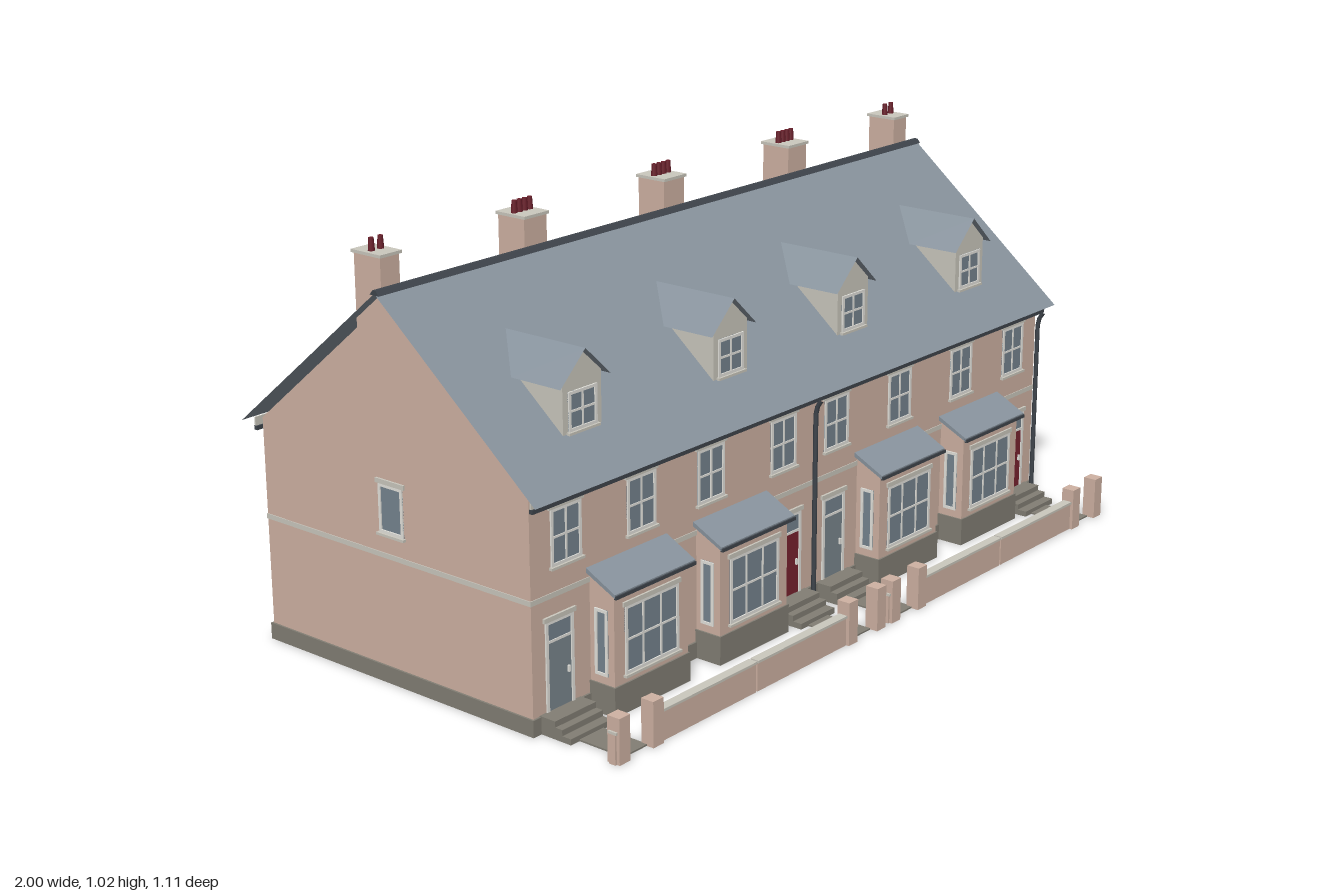
import * as THREE from 'three';

const mat = (name, color, side = THREE.FrontSide) => {
  const m = new THREE.MeshStandardMaterial({ color, side });
  m.name = name;
  return m;
};

export function createModel() {
  const brick = mat('brick', 0xcfb2a3, THREE.DoubleSide);
  const slate = mat('slate', 0x88939d, THREE.DoubleSide);
  const stone = mat('pale stone', 0xcbc8be);
  const grey = mat('grey concrete', 0x827e74);
  const glass = mat('glass', 0x76848f);
  const white = mat('white paint', 0xe4e3dd);
  const red = mat('red paint', 0x78222f);
  const iron = mat('dark iron', 0x3f454c);
  const blue = mat('grey blue paint', 0x7a868e);
  const clay = mat('red clay', 0x6a1f2b);

  const model = new THREE.Group();
  model.name = 'terrace';
  const group = (name, parent = model) => {
    const g = new THREE.Group();
    g.name = name;
    parent.add(g);
    return g;
  };
  const add = (parent, name, geo, m) => {
    const mesh = new THREE.Mesh(geo, m);
    mesh.name = name;
    parent.add(mesh);
    return mesh;
  };
  // Box given by its lowest and highest corners
  const box = (parent, name, m, x0, x1, y0, y1, z0, z1) => {
    const g = new THREE.BoxGeometry(x1 - x0, y1 - y0, z1 - z0);
    return add(parent, name, g.translate((x0 + x1) / 2, (y0 + y1) / 2, (z0 + z1) / 2), m);
  };
  const shapeOf = pts => new THREE.Shape(pts.map(p => new THREE.Vector2(p[0], p[1])));
  // Extrude a (z, y) profile across x
  const across = (parent, name, m, pts, x, w) => {
    const g = new THREE.ExtrudeGeometry(shapeOf(pts), { depth: w, bevelEnabled: false });
    return add(parent, name, g.translate(0, 0, -w / 2).rotateY(-Math.PI / 2).translate(x, 0, 0), m);
  };
  const quad = (parent, name, m, a, b, c, d) => {
    const g = new THREE.BufferGeometry();
    g.setAttribute('position', new THREE.Float32BufferAttribute([a, b, c, a, c, d].flat(), 3));
    g.computeVertexNormals();
    return add(parent, name, g, m);
  };

  // Window facing +z, with frame, bars, lintel and sill
  const windowUnit = (parent, x, y0, y1, w, cols, rows, { z = 0, lintel = true, sill = true } = {}) => {
    const g = group('window', parent);
    g.position.set(x, 0, z);
    const h = w / 2, f = 0.007, b = 0.0025;
    box(g, 'glass', glass, -h, h, y0, y1, -0.006, 0.001);
    for (const s of [-1, 1]) box(g, 'frameSide', white, s * h - (s > 0 ? f : 0), s * h + (s < 0 ? f : 0), y0, y1, -0.008, 0.004);
    box(g, 'frameBottom', white, -h, h, y0, y0 + f, -0.008, 0.004);
    box(g, 'frameTop', white, -h, h, y1 - f, y1, -0.008, 0.004);
    for (let i = 1; i < cols; i++) {
      const p = -h + w * i / cols;
      box(g, 'mullion', white, p - b, p + b, y0, y1, -0.007, 0.003);
    }
    for (let i = 1; i < rows; i++) {
      const p = y0 + (y1 - y0) * i / rows;
      box(g, 'transom', white, -h, h, p - b, p + b, -0.007, 0.003);
    }
    if (lintel) box(g, 'lintel', stone, -h - 0.007, h + 0.007, y1, y1 + 0.011, -0.002, 0.005);
    if (sill) box(g, 'sill', stone, -h - 0.005, h + 0.005, y0 - 0.006, y0, -0.004, 0.009);
  };

  // Front door with a glazed light above
  const door = (parent, x, paint) => {
    const g = group('frontDoor', parent);
    g.position.x = x;
    box(g, 'doorPanel', paint, -0.037, 0.037, 0.042, 0.2, -0.006, 0.001);
    box(g, 'topLight', glass, -0.037, 0.037, 0.2, 0.244, -0.006, 0.001);
    for (const s of [-1, 1]) box(g, 'jamb', white, s * 0.04 - 0.004, s * 0.04 + 0.004, 0.04, 0.25, -0.008, 0.004);
    box(g, 'rail', white, -0.037, 0.037, 0.199, 0.205, -0.008, 0.003);
    box(g, 'head', white, -0.044, 0.044, 0.243, 0.25, -0.008, 0.004);
    box(g, 'lintel', stone, -0.05, 0.05, 0.25, 0.261, -0.002, 0.006);
    box(g, 'handle', white, 0.024, 0.029, 0.115, 0.13, 0, 0.006);
  };

  // One wall: outline with holes, plinth and string course; local +z faces out
  const wall = (name, half, rise, pos, turn, openings) => {
    const g = group(name);
    g.position.set(...pos);
    g.rotation.y = turn;
    const pts = [[-half, 0], [half, 0], [half, 0.545]];
    if (rise) pts.push([0, 0.89]);
    pts.push([-half, 0.545]);
    const s = shapeOf(pts);
    for (const [x, y0, y1, w] of openings) {
      const h = w / 2;
      s.holes.push(new THREE.Path([[x - h, y0], [x - h, y1], [x + h, y1], [x + h, y0]].map(p => new THREE.Vector2(...p))));
    }
    add(g, 'brickwork', new THREE.ShapeGeometry(s), brick);
    box(g, 'plinth', grey, -half - 0.005, half + 0.005, 0, 0.04, -0.002, 0.005);
    box(g, 'stringCourse', stone, -half - 0.002, half + 0.002, 0.3, 0.312, -0.001, 0.002);
    return g;
  };

  const doors = [[-0.89, blue], [-0.087, red], [0.087, blue], [0.888, red]];
  const upper = [-0.864, -0.62, -0.38, -0.113, 0.094, 0.355, 0.625, 0.866];
  const front = wall('frontWall', 0.975, 0, [0, 0, 0.32], 0,
    [...upper.map(x => [x, 0.37, 0.5, 0.095]), ...doors.map(d => [d[0], 0.042, 0.25, 0.085])]);
  upper.forEach(x => windowUnit(front, x, 0.37, 0.5, 0.095, 2, 2));
  doors.forEach(([x, paint]) => door(front, x, paint));

  // Back wall: glazed doors and small windows in turn below a row of windows
  const backX = [-0.82, -0.595, -0.332, -0.118, 0.15, 0.362, 0.64, 0.85];
  const lower = i => i % 2 ? [0.135, 0.225, 0.08] : [0.045, 0.24, 0.13];
  const back = wall('backWall', 0.975, 0, [0, 0, -0.51], Math.PI,
    [...backX.map(x => [x, 0.365, 0.485, 0.085]), ...backX.map((x, i) => [x, ...lower(i)])]);
  backX.forEach((x, i) => {
    const [y0, y1, w] = lower(i);
    windowUnit(back, x, 0.365, 0.485, 0.085, 1, 1);
    windowUnit(back, x, y0, y1, w, i % 2 ? 1 : 3, 1, { sill: i % 2 === 1 });
  });

  for (const s of [-1, 1]) {
    const gable = wall(s > 0 ? 'leftGable' : 'rightGable', 0.415, 1, [s * 0.975, 0, -0.095], s * Math.PI / 2, [[0, 0.36, 0.475, 0.075]]);
    windowUnit(gable, 0, 0.36, 0.475, 0.075, 1, 1);
  }

  // Main roof, fascias, gutters and ridge
  const roof = group('roof');
  const ridgeY = 0.915, ridgeZ = -0.095, pitch = 0.829;
  const eaveY = ridgeY - 0.458 * pitch;
  for (const s of [-1, 1]) {
    const ez = ridgeZ + s * 0.458;
    quad(roof, 'roofSlope', slate, [-s, eaveY, ez], [s, eaveY, ez], [s, ridgeY, ridgeZ], [-s, ridgeY, ridgeZ]);
    const wz = ridgeZ + s * 0.43;
    box(roof, 'fascia', stone, -0.985, 0.985, 0.524, 0.545, wz - 0.002, wz + 0.002);
    box(roof, 'gutter', iron, -0.985, 0.985, 0.514, 0.524, wz - 0.004, wz + 0.006);
  }
  across(roof, 'ridgeTiles', iron, [[-0.109, 0.911], [-0.081, 0.911], [-0.09, 0.922], [-0.1, 0.922]], 0, 2);

  // Dormers
  for (const x of [-0.74, -0.236, 0.236, 0.74]) {
    const d = group('dormer');
    d.position.x = x;
    across(d, 'cheeks', stone, [[0.26, 0.612], [0.26, 0.725], [0.13, 0.725]], 0, 0.123);
    const gab = new THREE.ExtrudeGeometry(shapeOf([[-0.0615, 0.725], [0.0615, 0.725], [0.0615, 0.742], [0, 0.798], [-0.0615, 0.742]]), { depth: 0.12, bevelEnabled: false });
    add(d, 'dormerGable', gab.translate(0, 0, 0.14), stone);
    windowUnit(d, 0, 0.625, 0.715, 0.09, 2, 2, { z: 0.26, lintel: false });
    for (const s of [-1, 1]) {
      quad(d, 'dormerRoof', slate, [0, 0.805, 0.272], [s * 0.08, 0.73, 0.272], [s * 0.08, 0.73, 0.128], [0, 0.805, 0.036]);
    }
  }

  // Chimneys with rows of pots
  for (const [x, w, n] of [[-0.94, 0.056, 2], [-0.487, 0.074, 4], [0, 0.074, 4], [0.487, 0.074, 4], [0.94, 0.056, 2]]) {
    const c = group('chimney');
    c.position.x = x;
    box(c, 'stack', brick, -w / 2, w / 2, 0.81, 0.985, -0.188, -0.107);
    box(c, 'cap', stone, -w / 2 - 0.004, w / 2 + 0.004, 0.985, 0.992, -0.193, -0.102);
    const gap = n === 2 ? 0.027 : 0.017;
    for (let i = 0; i < n; i++) {
      const pot = add(c, 'chimneyPot', new THREE.CylinderGeometry(0.006, 0.008, 0.03, 12), clay);
      pot.position.set((i - (n - 1) / 2) * gap, 1.006, -0.148);
    }
  }

  // Bay windows with lean-to roofs
  for (const x of [-0.668, -0.308, 0.306, 0.668]) {
    const b = group('bayWindow');
    b.position.x = x;
    box(b, 'bayPlinth', grey, -0.127, 0.127, 0, 0.07, 0.32, 0.394);
    across(b, 'bayWalls', brick, [[0.32, 0.07], [0.39, 0.07], [0.39, 0.285], [0.32, 0.322]], 0, 0.246);
    windowUnit(b, 0, 0.09, 0.25, 0.178, 3, 2, { z: 0.39 });
    for (const s of [-1, 1]) {
      const side = group('baySide', b);
      side.position.set(s * 0.123, 0, 0.354);
      side.rotation.y = s * Math.PI / 2;
      windowUnit(side, 0, 0.09, 0.245, 0.037, 1, 1, { lintel: false, sill: false });
    }
    across(b, 'bayRoof', slate, [[0.32, 0.324], [0.403, 0.284], [0.403, 0.293], [0.32, 0.335]], 0, 0.268);
    box(b, 'bayGutter', iron, -0.134, 0.134, 0.282, 0.29, 0.4, 0.407);
  }

  // Doorsteps and paths
  for (const [x] of doors) {
    const e = group('entrance');
    across(e, 'steps', grey, [[0.32, 0], [0.41, 0], [0.41, 0.014], [0.385, 0.014], [0.385, 0.028], [0.365, 0.028], [0.365, 0.042], [0.32, 0.042]], x, 0.13);
    box(e, 'path', grey, x - 0.038, x + 0.038, 0, 0.004, 0.4, 0.535);
  }

  // Garden walls and gate piers
  const garden = group('gardenWall');
  for (const x of [-0.945, -0.837, -0.142, -0.03, 0.03, 0.137, 0.837, 0.945]) {
    box(garden, 'gatePier', brick, x - 0.017, x + 0.017, 0, 0.107, 0.52, 0.554);
  }
  for (const [a, b] of [[-0.82, -0.495], [-0.49, -0.16], [0.155, 0.487], [0.492, 0.82], [-0.967, -0.962], [-0.013, -0.008], [0.008, 0.013], [0.962, 0.967]]) {
    box(garden, 'lowWall', brick, a, b, 0, 0.069, 0.528, 0.546);
    box(garden, 'coping', stone, a, b, 0.069, 0.075, 0.525, 0.549);
  }

  // Downpipes
  for (const x of [0, 0.973]) {
    const path = new THREE.CurvePath();
    const p = [[0, 0.33], [0.485, 0.33], [0.5, 0.335], [0.518, 0.347]].map(([y, z]) => new THREE.Vector3(x, y, z));
    for (let i = 0; i < 3; i++) path.add(new THREE.LineCurve3(p[i], p[i + 1]));
    add(model, 'downpipe', new THREE.TubeGeometry(path, 24, 0.006, 8), iron);
  }
  return model;
}
